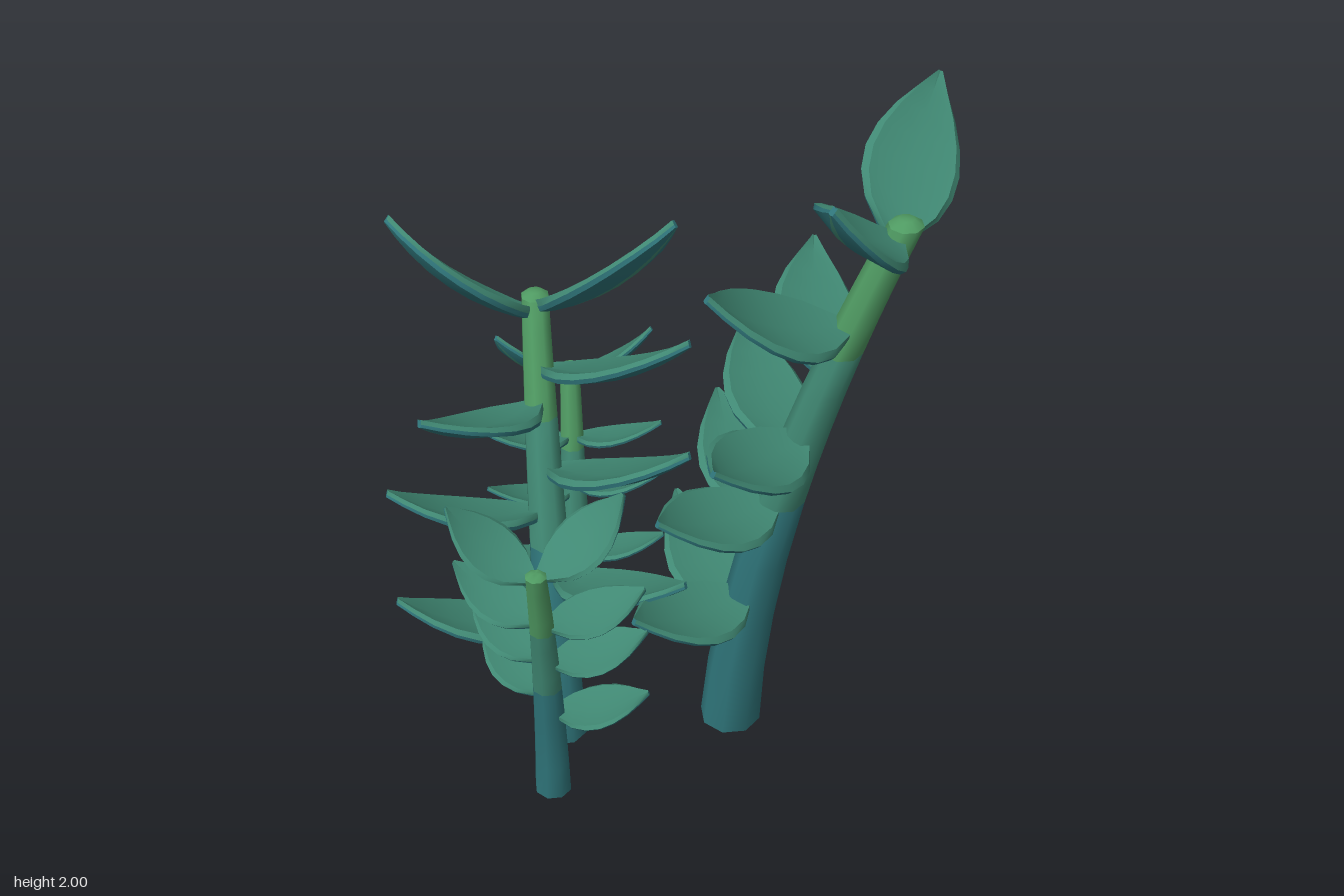
import * as THREE from 'three';
import { toCreasedNormals } from 'three/addons/utils/BufferGeometryUtils.js';

const material = (name, color) => Object.assign(new THREE.MeshStandardMaterial({ color }), { name });

// Each stem: base and top of its axis, bend exponents in x and z, radii, colour breaks and leaf reach.
// Leaves are [height of attachment, heading in degrees from +x towards +z, steepness if unusual];
// the first two form the crown.
const tallStem = {
  name: 'tallStem', base: [0.14, 0.115], top: [0.42, 1.745, 0.42], bend: [2, 1.3], radii: [0.087, 0.045], breaks: [0.49, 0.78], reach: 0.43,
  leaves: [[1.71, 149], [1.69, -42, 0.64], [1.44, 178, 0.55], [1.28, -64], [1.09, 154], [1.02, -78], [0.86, 168], [0.77, -80], [0.51, 167], [0.4, -87]],
};
const mediumStem = {
  name: 'mediumStem', base: [-0.31, -0.07], top: [-0.175, 1.245, -0.42], bend: [1.8, 1.5], radii: [0.073, 0.039], breaks: [0.48, 0.76], reach: 0.43,
  leaves: [[1.21, -148], [1.23, 41, 0.7], [0.98, 162, 0.39], [1.07, 49, 0.42], [0.69, -160, 0.27], [0.81, 53, 0.4], [0.37, -159, 0.29], [0.51, 60]],
};
const leftSmallStem = {
  name: 'leftSmallStem', base: [-0.44, 0.125], top: [-0.525, 0.9, 0.25], bend: [1.7, 1.6], radii: [0.052, 0.029], breaks: [0.47, 0.74], reach: 0.27,
  leaves: [[0.88, -131], [0.89, 7, 0.75], [0.7, -120], [0.69, 21], [0.54, -109], [0.53, 25], [0.39, -103], [0.32, 35]],
};
const backSmallStem = {
  name: 'backSmallStem', base: [-0.093, -0.385], top: [-0.03, 0.9, -0.515], bend: [1.8, 1.8], radii: [0.053, 0.029], breaks: [0.47, 0.74], reach: 0.26,
  leaves: [[0.89, 176, 0.78], [0.88, 34], [0.7, -175], [0.7, 42], [0.53, -175], [0.55, 42], [0.33, -178], [0.34, 40]],
};

// Point on a stem axis at u = 0..1 of its height
function axisPoint({ base, top, bend }, u) {
  return new THREE.Vector3(
    base[0] + (top[0] - base[0]) * u ** bend[0],
    top[1] * u,
    base[1] + (top[2] - base[1]) * u ** bend[1]);
}

// One coloured stretch of a stem: an open cylinder bent and tapered along the axis
function stemPart(stem, u0, u1) {
  const geo = new THREE.CylinderGeometry(1, 1, 1, 8, 4, true);
  const pos = geo.attributes.position;
  for (let i = 0; i < pos.count; i++) {
    const u = THREE.MathUtils.lerp(u0, u1, pos.getY(i) + 0.5);
    const r = THREE.MathUtils.lerp(...stem.radii, u);
    const p = axisPoint(stem, u);
    pos.setXYZ(i, p.x + pos.getX(i) * r, p.y, p.z + pos.getZ(i) * r);
  }
  return toCreasedNormals(geo, 0.9);
}

// Leaf stations along its length: [t, half width factor]
const OUTLINE = [[0, 0.1], [0.1, 0.42], [0.22, 0.78], [0.36, 0.97], [0.5, 1], [0.64, 0.88], [0.78, 0.63], [0.9, 0.32], [1, 0.05]];
// Cross-section, counterclockwise: [share of half width, share of thickness]
const SECTION = [[1, -0.55], [0.87, 0.1], [0, 0], [-0.87, 0.1], [-1, -0.55], [-0.94, -0.95], [-0.15, -1], [0.15, -1], [0.94, -0.95]];
// Section sides by colour: upper face and bevelled rim, underside, midrib stripe
const SIDES = [[0, 1, 2, 3], [4, 5, 7, 8], [6]];

// Cupped, sagging leaf lofted from its start to its tip, its upper face turned along "up"
function leafGeometry(start, tip, up) {
  const dir = tip.clone().sub(start);
  const length = dir.length();
  dir.normalize();
  const side = dir.clone().cross(up).normalize();
  const normal = side.clone().cross(dir);
  const n = SECTION.length;
  const positions = [];
  for (const [t, k] of OUTLINE) {
    const w = 0.27 * length * k;
    const thick = 0.07 * length * (1 - 0.4 * t);
    const sag = -0.4 * t * (1 - t) * length;
    for (const [s, h] of SECTION) {
      const p = start.clone().addScaledVector(dir, t * length)
        .addScaledVector(side, s * w)
        .addScaledVector(normal, sag + h * thick + 0.16 * w * s * s);
      positions.push(p.x, p.y, p.z);
    }
  }
  const geo = new THREE.BufferGeometry();
  geo.setAttribute('position', new THREE.Float32BufferAttribute(positions, 3));
  const index = [];
  SIDES.forEach((sides, m) => {
    const from = index.length;
    for (let i = 0; i < OUTLINE.length - 1; i++) {
      for (const j of sides) {
        const a = i * n + j, b = i * n + (j + 1) % n;
        index.push(a, b + n, b, a, a + n, b + n);
      }
    }
    // Close the blunt tip
    if (m === 1) {
      const e = (OUTLINE.length - 1) * n;
      for (let j = 1; j < n - 1; j++) index.push(e, e + j + 1, e + j);
    }
    geo.addGroup(from, index.length - from, m);
  });
  geo.setIndex(index);
  return toCreasedNormals(geo, 0.5);
}

export function createModel() {
  const teal = material('deep teal', 0x2f757a);
  teal.side = THREE.DoubleSide;
  const leafGreen = material('leaf green', 0x408873);
  const sprout = material('sprout green', 0x4f9a62);
  const model = new THREE.Group();
  model.name = 'plant';

  for (const stem of [tallStem, mediumStem, leftSmallStem, backSmallStem]) {
    const group = new THREE.Group();
    group.name = stem.name;
    const add = (geo, mat, name) => {
      const mesh = new THREE.Mesh(geo, mat);
      mesh.name = name;
      group.add(mesh);
      return mesh;
    };

    // Stem in three colours, with a low rounded bud on top
    const [b0, b1] = stem.breaks;
    add(stemPart(stem, 0, b0), teal, 'stemBase');
    add(stemPart(stem, b0, b1), leafGreen, 'stemMiddle');
    add(stemPart(stem, b1, 1), sprout, 'stemTop');
    const r = stem.radii[1];
    const bud = new THREE.CylinderGeometry(r * 0.45, r, r * 0.4, 8);
    add(toCreasedNormals(bud, 1), sprout, 'stemBud').position.set(stem.top[0], stem.top[1] + r * 0.2, stem.top[2]);

    // Leaves grow outwards and face along the leaning stem; the crown pair is steeper and shorter in plan
    stem.leaves.forEach(([height, heading, steepness], i) => {
      const [out, usualRise] = i < 2 ? [0.88, 0.66] : [1, 0.34];
      const angle = THREE.MathUtils.degToRad(heading);
      const u = height / stem.top[1];
      const start = axisPoint(stem, u);
      const up = axisPoint(stem, u + 0.02).sub(axisPoint(stem, u - 0.02));
      const step = new THREE.Vector3(Math.cos(angle) * out, steepness ?? usualRise, Math.sin(angle) * out);
      const tip = start.clone().addScaledVector(step, stem.reach);
      add(leafGeometry(start, tip, up), [leafGreen, teal, leafGreen], 'leaf');
    });
    model.add(group);
  }
  return model;
}
